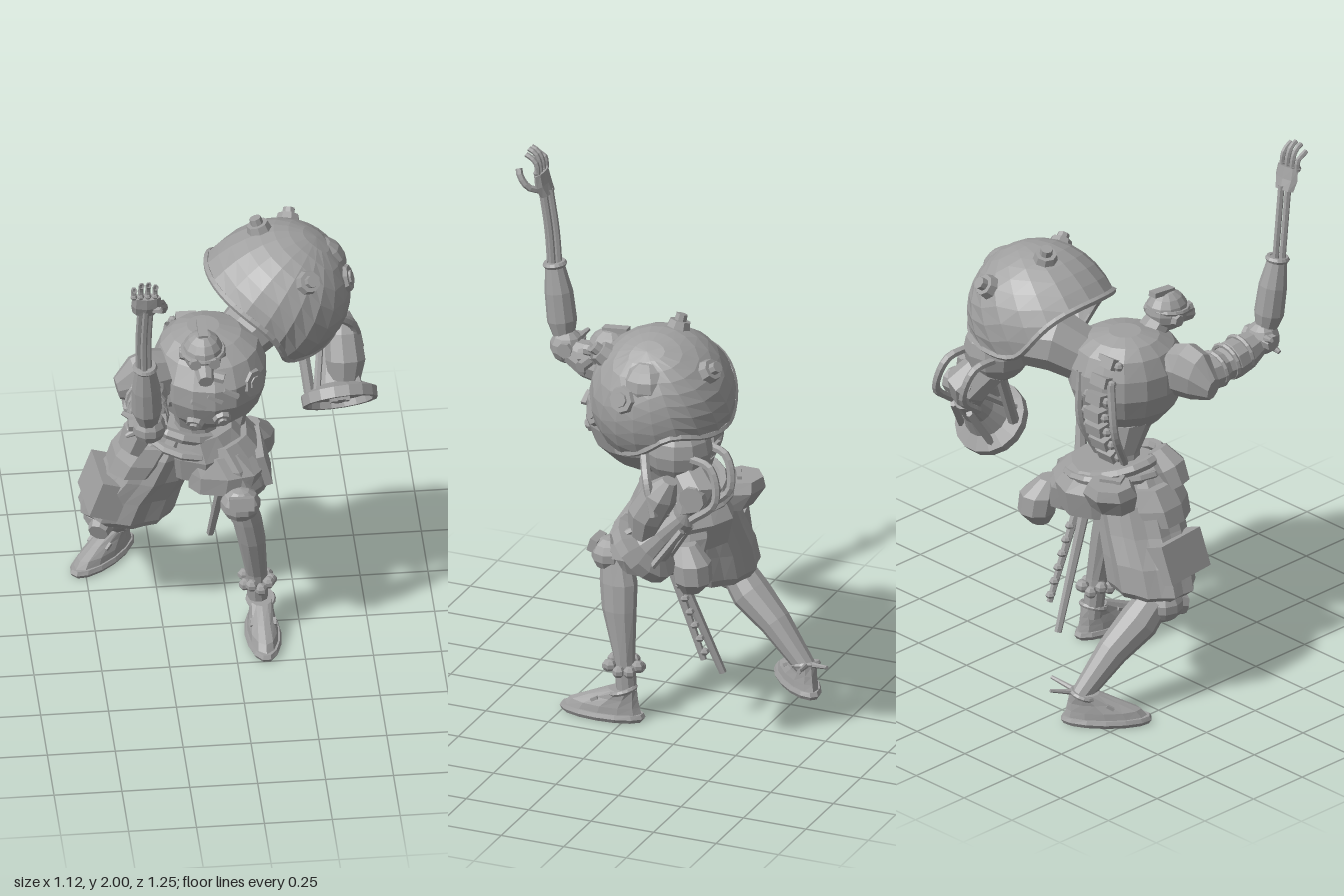
import * as THREE from 'three';

const V = (a) => new THREE.Vector3(...a);
const UP = new THREE.Vector3(0, 1, 0);
const steel = new THREE.MeshStandardMaterial({ color: 0xa0a0a0, side: THREE.DoubleSide });
steel.name = 'grey';

export function createModel() {
  const root = new THREE.Group();
  root.name = 'mechanicalFighter';

  // faceted mesh from any geometry
  function add(name, geo, pos = [0, 0, 0], parent = root) {
    const g = geo.index ? geo.toNonIndexed() : geo;
    g.computeVertexNormals();
    const m = new THREE.Mesh(g, steel);
    m.name = name;
    m.position.set(...pos);
    parent.add(m);
    return m;
  }
  const ball = (name, p, r, s = [1, 1, 1], w = 10, h = 7) =>
    add(name, new THREE.SphereGeometry(r, w, h).scale(...s), p);
  const box = (name, p, s, rot = [0, 0, 0], parent = root) => {
    const m = add(name, new THREE.BoxGeometry(...s), p, parent);
    m.rotation.set(...rot);
    return m;
  };
  // torus whose hole faces along dir
  const ring = (name, p, r, t, dir, parent = root) => {
    const m = add(name, new THREE.TorusGeometry(r, t, 6, 16), p, parent);
    m.quaternion.setFromUnitVectors(new THREE.Vector3(0, 0, 1), V(dir).normalize());
    return m;
  };
  const tube = (name, pts, r, n = 14) =>
    add(name, new THREE.TubeGeometry(new THREE.CatmullRomCurve3(pts.map(V)), n, r, 6));

  // skin through rings [x, y, z, radius, second radius]; flat keeps rings level
  function loft(name, rings, n = 10, flat = false, pleat = 0, parent = root) {
    const c = rings.map((r) => V(r));
    const d = flat ? UP.clone() : c[c.length - 1].clone().sub(c[0]).normalize();
    const ref = Math.abs(d.z) > 0.9 ? UP : new THREE.Vector3(0, 0, 1);
    const u = new THREE.Vector3().crossVectors(d, ref).normalize();
    const v = new THREE.Vector3().crossVectors(u, d);
    const pos = [], idx = [];
    rings.forEach((r, i) => {
      for (let j = 0; j < n; j++) {
        const a = (j / n) * Math.PI * 2;
        const k = 1 + (j % 2 ? pleat : -pleat);
        const p = c[i].clone().addScaledVector(u, Math.cos(a) * r[3] * k)
          .addScaledVector(v, Math.sin(a) * (r[4] ?? r[3]) * k);
        pos.push(p.x, p.y, p.z);
      }
    });
    for (let i = 0; i < rings.length - 1; i++) for (let j = 0; j < n; j++) {
      const a = i * n + j, b = i * n + (j + 1) % n;
      idx.push(a, a + n, b, b, a + n, b + n);
    }
    [0, rings.length - 1].forEach((i) => { // end caps
      const k = pos.length / 3;
      pos.push(...c[i].toArray());
      for (let j = 0; j < n; j++) {
        const a = i * n + j, b = i * n + (j + 1) % n;
        idx.push(...(i ? [k, b, a] : [k, a, b]));
      }
    });
    const g = new THREE.BufferGeometry();
    g.setAttribute('position', new THREE.Float32BufferAttribute(pos, 3));
    g.setIndex(idx);
    return add(name, g, [0, 0, 0], parent);
  }
  const rod = (name, a, b, r, r2 = r, n = 7) => loft(name, [[...a, r], [...b, r2]], n);
  // stepped round fitting standing on an ellipsoid
  function stud(name, c, rad, dir, r, h) {
    const d = V(dir).normalize();
    const k = 1 / Math.hypot(d.x / rad[0], d.y / rad[1], d.z / rad[2]);
    const at = (s) => V(c).addScaledVector(d, k + s).toArray();
    rod(name, at(-0.02), at(h * 0.5), r, r * 0.8, 8);
    rod(name + 'Tip', at(0), at(h), r * 0.5, r * 0.45, 8);
  }

  // torso, broad at the shoulders, and its fittings
  const tc = [-0.08, 1.15, 0], tr = [0.21, 0.205, 0.225];
  loft('torso', [[-0.09, 0.945, -0.02, 0.07], [-0.085, 0.98, -0.01, 0.125, 0.13], [-0.08, 1.05, 0, 0.185, 0.195], [-0.08, 1.13, 0, 0.21, 0.225],
    [-0.08, 1.21, 0, 0.208, 0.222], [-0.08, 1.28, -0.01, 0.18, 0.185], [-0.09, 1.32, -0.02, 0.13, 0.125], [-0.1, 1.34, -0.03, 0.06, 0.06]], 16, true);
  [[-0.35, -0.5, 0.9], [0.12, -0.3, 0.95]].forEach((d) => stud('chestLens', tc, tr, d, 0.038, 0.02));
  stud('sideHatch', tc, tr, [0.72, 0.2, 0.7], 0.06, 0.01);
  stud('sideHatch', tc, tr, [-0.75, -0.1, 0.5], 0.045, 0.012);
  [-0.14, -0.08, -0.02].forEach((x, i) => box('chestSlot', [x, 1.16 + i * 0.02, 0.215], [0.06, 0.014, 0.02], [-0.1, 0, -0.5]));
  loft('neck', [[-0.1, 1.24, 0.06, 0.07], [-0.12, 1.36, 0.15, 0.045]], 8);
  loft('abdomen', [[-0.11, 0.76, -0.1, 0.1], [-0.12, 0.88, -0.08, 0.078], [-0.11, 1.0, -0.04, 0.11]], 10, true);

  // spine
  for (let i = 0; i < 7; i++) {
    const y = 0.9 + i * 0.062, z = -0.16 - 0.07 * Math.sin((i / 6) * Math.PI);
    box('vertebra', [-0.15, y, z], [0.075, 0.042, 0.05], [0.15 * (i - 3), 0, 0]);
    [-1, 1].forEach((s) => ball('vertebraKnob', [-0.15 + s * 0.05, y, z], 0.018, [1, 1, 1], 6, 4));
  }
  [-1, 1].forEach((s) => tube('backHose', [[-0.15 + s * 0.07, 0.88, -0.15], [-0.15 + s * 0.09, 1.03, -0.22], [-0.13 + s * 0.08, 1.22, -0.21]], 0.015));

  // head
  ball('head', [-0.12, 1.365, 0.165], 0.076, [1, 1.05, 1.1], 12, 8);
  ring('capBrim', [-0.12, 1.375, 0.17], 0.074, 0.01, [0, 1, 0.1]);
  box('capCrest', [-0.12, 1.445, 0.14], [0.035, 0.02, 0.1], [0.1, 0, 0]);
  rod('respirator', [-0.12, 1.33, 0.21], [-0.12, 1.31, 0.285], 0.04, 0.028, 8);
  [-1, 1].forEach((s) => {
    rod('eyepiece', [-0.12 + s * 0.035, 1.36, 0.22], [-0.12 + s * 0.035, 1.36, 0.25], 0.022);
    rod('earCap', [-0.12 + s * 0.065, 1.35, 0.15], [-0.12 + s * 0.085, 1.35, 0.15], 0.03, 0.022);
  });
  rod('filter', [-0.1, 1.31, 0.24], [-0.05, 1.3, 0.255], 0.022);

  // raised arm
  loft('shoulderCap', [[-0.24, 1.21, 0.07, 0.1, 0.075], [-0.29, 1.21, 0.085, 0.115, 0.08], [-0.36, 1.2, 0.095, 0.1, 0.07], [-0.43, 1.17, 0.1, 0.045, 0.035]], 9);
  loft('upperArm', [[-0.31, 1.17, 0.08, 0.07], [-0.33, 1.18, 0.2, 0.075], [-0.335, 1.185, 0.24, 0.06], [-0.335, 1.19, 0.28, 0.075], [-0.335, 1.2, 0.35, 0.07], [-0.34, 1.22, 0.42, 0.05]]);
  [0.2, 0.26, 0.33].forEach((z) => ring('armBand', [-0.335, 1.185 + (z - 0.2) * 0.15, z], 0.066, 0.01, [0, 0.15, 1]));
  ball('elbow', [-0.345, 1.235, 0.435], 0.065);
  rod('elbowPin', [-0.42, 1.24, 0.42], [-0.28, 1.24, 0.42], 0.03);
  [[-0.44, 1.27, 0.39], [-0.43, 1.2, 0.44]].forEach((p) => rod('elbowSpike', [-0.345, 1.235, 0.43], p, 0.025, 0.008));
  loft('forearmSleeve', [[-0.35, 1.27, 0.45, 0.04], [-0.355, 1.33, 0.46, 0.056], [-0.36, 1.44, 0.475, 0.053], [-0.365, 1.55, 0.495, 0.035]]);
  ring('sleeveCuff', [-0.365, 1.545, 0.493], 0.034, 0.012, [0, 1, 0.15]);
  [[-0.018, 0], [0.018, 0], [0, 0.018], [0, -0.018]].forEach(([x, z]) =>
    tube('forearmRod', [[-0.37 + x, 1.53, 0.495 + z], [-0.372 + x, 1.68, 0.508 + z], [-0.367 + x, 1.84, 0.53 + z]], 0.012));
  loft('palm', [[-0.37, 1.82, 0.525, 0.045, 0.022], [-0.365, 1.86, 0.54, 0.056, 0.022], [-0.365, 1.905, 0.548, 0.052, 0.018]], 8);
  for (let i = 0; i < 4; i++) {
    const x = -0.412 + i * 0.026, h = [-0.02, 0, 0.002, -0.01][i];
    tube('finger', [[x, 1.9, 0.548], [x, 1.945, 0.553], [x, 1.975 + h, 0.57], [x, 1.988 + h, 0.595]], 0.01, 6);
    ball('knuckle', [x, 1.91, 0.552], 0.013, [1, 1, 1], 6, 4);
  }
  tube('thumb', [[-0.34, 1.84, 0.54], [-0.308, 1.86, 0.575], [-0.305, 1.9, 0.605], [-0.315, 1.925, 0.615]], 0.013, 6);

  // great shoulder shell: sphere with a shaped rim, tipped outward, flared towards the neck
  const sc = [0.2, 1.37, -0.18], sr = [0.26, 0.265, 0.265];
  const tip = new THREE.Quaternion().setFromUnitVectors(UP, V([0.5, 0.85, 0]).normalize());
  const bump = (a, c, w) => Math.exp(-(((a - c) / w) ** 2));
  const shellPoint = (t, az, k = 1) => {
    const a = THREE.MathUtils.radToDeg(az);
    const rim = 96 + 32 * bump(a, 55, 32) - 18 * bump(a, -30, 25) + 20 * bump(a, -105, 32);
    const th = THREE.MathUtils.degToRad(rim) * t;
    const flare = 1 + 0.17 * t ** 4 * bump(180 - Math.abs(a), 0, 65);
    return new THREE.Vector3(Math.sin(th) * Math.cos(az), Math.cos(th), Math.sin(th) * Math.sin(az))
      .applyQuaternion(tip).multiply(V(sr)).multiplyScalar(k * flare).add(V(sc));
  };
  [1, 0.95].forEach((k) => {
    const g = new THREE.SphereGeometry(1, 20, 8, 0, Math.PI * 2, 0, Math.PI / 2), p = g.attributes.position;
    for (let i = 0; i < p.count; i++) {
      const q = shellPoint(Math.acos(THREE.MathUtils.clamp(p.getY(i), -1, 1)) * 2 / Math.PI, Math.atan2(p.getZ(i), p.getX(i)), k);
      p.setXYZ(i, q.x, q.y, q.z);
    }
    add(k === 1 ? 'shoulderShell' : 'shellLining', g);
  });
  const rimPts = [];
  for (let i = 0; i < 32; i++) rimPts.push(shellPoint(1, -Math.PI + (i / 32) * Math.PI * 2, 0.98));
  add('shellRim', new THREE.TubeGeometry(new THREE.CatmullRomCurve3(rimPts, true), 48, 0.013, 5, true));
  ball('shellBoss', [0.345, 1.475, -0.19], 0.1, [1, 1, 1], 12, 8);
  [[-0.3, 1, -0.15], [0.3, 0.6, 0.7], [0.2, 0.65, -0.9]].forEach((d) => stud('shellStud', sc, sr, d, 0.05, 0.05));
  stud('sidePort', sc, sr, [0.95, 0.28, 0.2], 0.06, 0.015);
  loft('shoulderLink', [[0.0, 1.2, -0.08, 0.1], [0.12, 1.27, -0.16, 0.12], [0.28, 1.26, -0.24, 0.1]], 9);

  // lowered arm
  ball('heavyUpperArm', [0.3, 1.22, -0.29], 0.13, [0.95, 1, 1], 11, 8);
  loft('heavyElbow', [[0.31, 1.15, -0.33, 0.08], [0.35, 1.08, -0.4, 0.085], [0.38, 1.0, -0.38, 0.06]], 9);
  rod('elbowAxle', [0.29, 1.08, -0.4], [0.43, 1.08, -0.4], 0.05, 0.05, 9);
  loft('forearmPod', [[0.44, 1.15, -0.32, 0.03], [0.44, 1.09, -0.28, 0.068], [0.445, 1.0, -0.23, 0.075], [0.44, 0.9, -0.21, 0.055]], 9);
  [0.23, 0.37].forEach((x) => tube('armHose', [[x, 1.22, -0.36], [x + 0.02, 1.2, -0.46], [x + 0.05, 1.08, -0.49], [x + 0.06, 1.0, -0.4]], 0.016));
  tube('sideHose', [[0.4, 1.22, -0.2], [0.47, 1.15, -0.24], [0.5, 1.02, -0.28]], 0.018);

  // bell-mouthed cannon, local y pointing out of the mouth
  const cannon = new THREE.Group();
  cannon.name = 'cannon';
  cannon.position.set(0.42, 0.845, -0.2);
  cannon.quaternion.setFromUnitVectors(UP, V([0.08, -0.7, 0.71]).normalize());
  root.add(cannon);
  const bell = [[0, -0.24], [0.05, -0.22], [0.065, -0.12], [0.09, -0.05], [0.142, -0.025], [0.14, 0.015], [0.122, 0.015], [0.118, -0.01], [0, -0.01]];
  add('bell', new THREE.LatheGeometry(bell.map((p) => new THREE.Vector2(...p)), 16), [0, 0, 0], cannon);
  box('muzzleCross', [0, 0, 0], [0.07, 0.025, 0.03], [0, 0, 0], cannon);
  box('muzzleCross', [0, 0, 0], [0.03, 0.025, 0.07], [0, 0, 0], cannon);
  for (let i = 0; i < 4; i++) {
    const a = 0.5 + i * Math.PI / 2;
    loft('cannonStrut', [[Math.cos(a) * 0.06, -0.2, Math.sin(a) * 0.06, 0.014], [Math.cos(a) * 0.11, -0.03, Math.sin(a) * 0.11, 0.014]], 6, true, 0, cannon);
  }
  rod('forearmStrut', [0.28, 1.12, -0.3], [0.31, 0.88, -0.2], 0.022);

  // waist, belt and pouches
  loft('hips', [[-0.1, 0.68, -0.13, 0.17, 0.18], [-0.1, 0.78, -0.13, 0.19, 0.2], [-0.12, 0.86, -0.12, 0.14, 0.16]], 12, true, 0.03);
  ring('belt', [-0.14, 0.82, -0.12], 0.175, 0.018, [0.15, 1, 0.1]);
  ring('sash', [-0.17, 0.86, -0.11], 0.145, 0.022, [0.3, 1, -0.1]);
  loft('sashKnot', [[-0.37, 0.8, -0.02, 0.05], [-0.34, 0.87, -0.03, 0.06], [-0.29, 0.93, -0.05, 0.04]], 7);
  loft('backPouch', [[-0.27, 0.76, -0.26, 0.09, 0.075], [-0.28, 0.83, -0.28, 0.105, 0.1], [-0.285, 0.87, -0.29, 0.085, 0.08]], 7, true);
  box('pouchBuckle', [-0.28, 0.875, -0.28], [0.08, 0.014, 0.018], [0, 0.5, 0]);
  box('pouchBuckle', [-0.3, 0.875, -0.25], [0.018, 0.014, 0.06], [0, 0.5, 0]);
  loft('sidePouch', [[0.11, 0.56, -0.26, 0.035], [0.115, 0.61, -0.27, 0.072], [0.11, 0.68, -0.26, 0.075], [0.09, 0.74, -0.23, 0.04]], 9, true);
  box('thighBox', [-0.455, 0.57, -0.12], [0.11, 0.15, 0.22], [0, 0.1, -0.35]);

  // baggy trousers and front plates
  loft('rightTrouser', [[-0.36, 0.43, -0.16, 0.15, 0.125], [-0.37, 0.46, -0.16, 0.175, 0.145], [-0.34, 0.56, -0.15, 0.17, 0.15],
    [-0.29, 0.66, -0.13, 0.155, 0.155], [-0.245, 0.77, -0.12, 0.15, 0.15], [-0.2, 0.86, -0.1, 0.11, 0.11]], 20, true, 0.04);
  loft('upperFold', [[-0.34, 0.69, -0.1, 0.11, 0.13], [-0.31, 0.75, -0.1, 0.12, 0.14], [-0.27, 0.82, -0.1, 0.11, 0.13]], 9, true, 0.03);
  loft('leftTrouser', [[0.04, 0.59, -0.06, 0.09, 0.11], [0.03, 0.65, -0.09, 0.13, 0.185], [-0.01, 0.74, -0.1, 0.145, 0.185], [-0.05, 0.82, -0.11, 0.12, 0.15]], 14, true, 0.03);
  loft('frontPlate', [[-0.03, 0.65, 0.03, 0.13, 0.07], [-0.02, 0.72, 0.03, 0.14, 0.07], [-0.06, 0.79, 0.0, 0.11, 0.06]], 8, true);
  box('sidePlate', [0.12, 0.71, -0.06], [0.03, 0.13, 0.2], [0, 0, 0.25]);

  // slung scabbards
  rod('scabbard', [0.06, 0.94, -0.1], [0.02, 0.72, -0.14], 0.018, 0.03);
  rod('scabbardBlade', [0.0, 0.66, -0.12], [-0.045, 0.18, -0.32], 0.022, 0.014, 6);
  rod('scabbardBlade', [0.03, 0.62, -0.14], [0.04, 0.26, -0.28], 0.018, 0.012, 6);
  for (let i = 0; i < 6; i++) ball('bladeNotch', [0.035, 0.54 - i * 0.05, -0.18 - i * 0.02], 0.02, [1, 0.7, 1], 6, 4);

  // legs
  ball('leftKnee', [0.025, 0.615, 0.1], 0.075, [1, 0.9, 0.95]);
  box('kneeClasp', [0.025, 0.65, 0.155], [0.09, 0.05, 0.03], [-0.3, 0, 0]);
  loft('leftShin', [[0.1, 0.08, 0.0, 0.038], [0.092, 0.24, 0.015, 0.04], [0.07, 0.42, 0.045, 0.052, 0.066], [0.052, 0.52, 0.055, 0.055, 0.072], [0.03, 0.62, 0.075, 0.05, 0.06]], 10, true);
  ball('rightKnee', [-0.45, 0.4, -0.18], 0.078, [1, 0.9, 1]);
  rod('kneeCap', [-0.46, 0.39, -0.14], [-0.48, 0.375, -0.095], 0.05, 0.038, 8);
  loft('rightShin', [[-0.43, 0.41, -0.21, 0.065], [-0.415, 0.34, -0.27, 0.075], [-0.39, 0.25, -0.38, 0.06], [-0.36, 0.1, -0.52, 0.038]], 10);

  // shoes, toe along local z
  function shoe(name, x, z, turn) {
    const g = new THREE.Group();
    g.name = name;
    g.position.set(x, 0, z);
    g.rotation.y = turn;
    root.add(g);
    loft('sole', [[0, 0, 0, 0.06, 0.16], [0, 0.015, 0, 0.068, 0.17], [0, 0.03, 0, 0.062, 0.162]], 14, true, 0, g);
    loft('upper', [[0, 0.03, -0.003, 0.056, 0.153], [0, 0.055, -0.01, 0.053, 0.138], [0, 0.085, -0.042, 0.045, 0.1], [0, 0.12, -0.08, 0.042, 0.055]], 12, true, 0, g);
    ring('ankleStrap', [0, 0.115, -0.082], 0.046, 0.01, [0, 1, 0.3], g);
    box('instepStrap', [0, 0.078, 0.015], [0.095, 0.012, 0.03], [0.5, 0, 0], g);
  }
  shoe('leftShoe', 0.108, 0.095, 0);
  shoe('rightShoe', -0.43, -0.45, -Math.PI / 4);
  for (let i = 0; i < 9; i++) {
    const a = (i / 9) * Math.PI * 2;
    ball('ankleBead', [0.095 + Math.cos(a) * 0.05, 0.2 + 0.015 * (i % 2), 0.015 + Math.sin(a) * 0.06], 0.024, [1, 1, 1], 6, 5);
  }
  rod('heelSpike', [-0.36, 0.12, -0.52], [-0.235, 0.145, -0.54], 0.012, 0.007);
  rod('heelSpike', [-0.36, 0.12, -0.52], [-0.31, 0.145, -0.62], 0.012, 0.007);
  return root;
}
